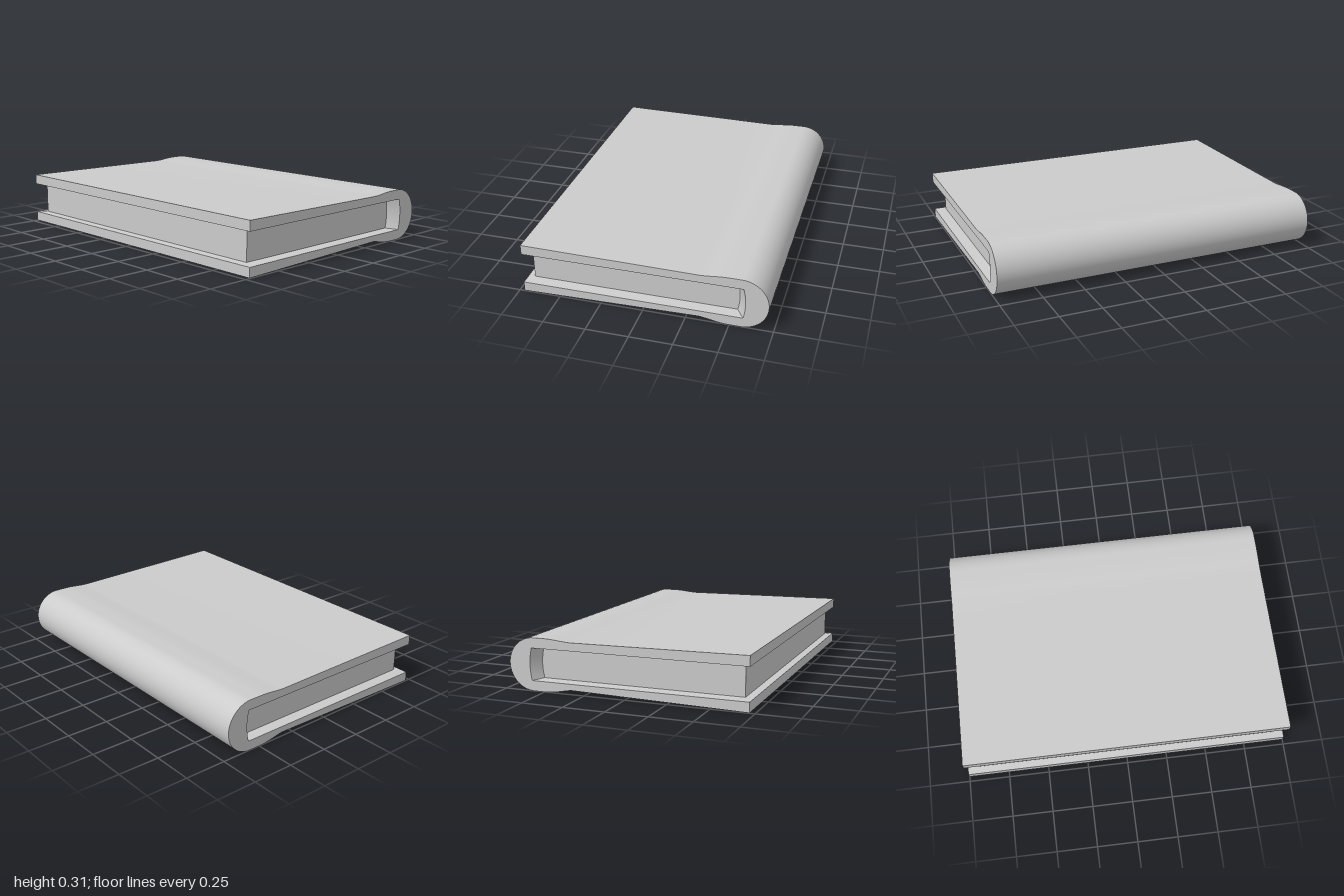
import * as THREE from 'three';
import { toCreasedNormals } from 'three/addons/utils/BufferGeometryUtils.js';

const material = new THREE.MeshStandardMaterial({ color: 0xcccccc, side: THREE.DoubleSide });
const MID = 0.155;      // mid height of the book
const COVER_Z = 1;      // half length of the cover
const PAGE_Z = 0.935;   // half length of the page block

// U-shaped path open to -x: top edge, bowed spine end, bottom edge
function uPath(left, topLeft, right, top, bow) {
  const points = [new THREE.Vector2(left, topLeft)];
  const steps = 8;
  for (let i = 0; i <= steps; i++) {
    const t = 1 - (2 * i) / steps;
    points.push(new THREE.Vector2(right + bow * (1 - t * t), MID + t * (top - MID)));
  }
  points.push(new THREE.Vector2(left, 2 * MID - topLeft));
  return points;
}

function extrude(shape, halfLength) {
  const geometry = new THREE.ExtrudeGeometry(shape, {
    depth: 2 * halfLength, bevelEnabled: false, curveSegments: 24,
  });
  geometry.translate(0, 0, -halfLength);
  return toCreasedNormals(geometry, 0.5);
}

// Closed 3D ring running round the front U and back along the rear U
function ring(path, z) {
  return [
    ...path.map((p) => new THREE.Vector3(p.x, p.y, z)),
    ...[...path].reverse().map((p) => new THREE.Vector3(p.x, p.y, -z)),
  ];
}

// Sloping band between two rings with equal point counts
function band(outer, inner) {
  const positions = [];
  const n = outer.length;
  for (let i = 0; i < n; i++) {
    // the fore-edge is split into a top and a bottom lip, so rings close along z
    const j = (i + 1) % n;
    for (const p of [outer[i], inner[i], outer[j], outer[j], inner[i], inner[j]]) {
      positions.push(p.x, p.y, p.z);
    }
  }
  const geometry = new THREE.BufferGeometry();
  geometry.setAttribute('position', new THREE.Float32BufferAttribute(positions, 3));
  return toCreasedNormals(geometry, 0.5);
}

export function createModel() {
  const book = new THREE.Group();
  book.name = 'book';
  const add = (name, geometry) => {
    const mesh = new THREE.Mesh(geometry, material);
    mesh.name = name;
    book.add(mesh);
  };

  const coverPath = uPath(-0.72, 0.25, 0.578, 0.25, 0.012);
  const pagePath = uPath(-0.677, 0.244, 0.533, 0.244, 0.012);

  // Cover: two boards, hinge grooves and a rounded spine
  const cover = new THREE.Shape();
  cover.moveTo(-0.72, 0.002);
  cover.lineTo(0.33, 0.024);
  cover.bezierCurveTo(0.39, 0.016, 0.43, 0, 0.51, 0);
  cover.lineTo(0.565, 0);
  cover.absarc(0.565, MID, MID, -Math.PI / 2, Math.PI / 2, false);
  cover.lineTo(0.49, 0.31);
  cover.bezierCurveTo(0.42, 0.308, 0.39, 0.3, 0.33, 0.298);
  cover.lineTo(-0.72, 0.31);
  for (const p of coverPath) cover.lineTo(p.x, p.y);
  cover.closePath();
  add('cover', extrude(cover, COVER_Z));

  // Page block, set back from the cover on three sides
  add('pages', extrude(new THREE.Shape(pagePath), PAGE_Z));

  // Inner lining that slopes from the cover edge down to the pages
  add('lining', band(ring(coverPath, COVER_Z), ring(pagePath, PAGE_Z)));

  return book;
}
